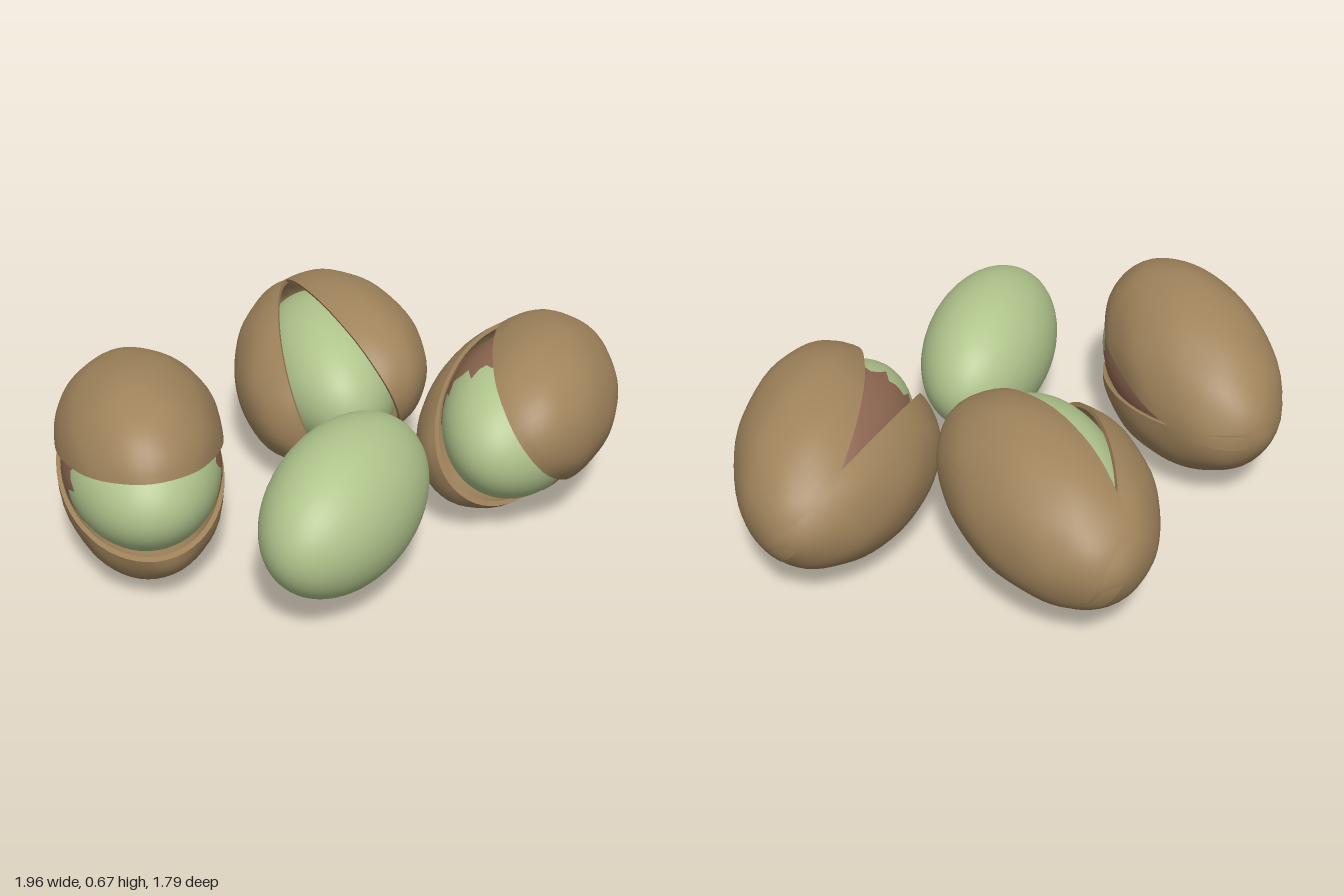
import * as THREE from 'three';
import { mergeGeometries, toCreasedNormals } from 'three/addons/utils/BufferGeometryUtils.js';

const shellMat = new THREE.MeshStandardMaterial({ color: 0xa0845c });
const kernelMat = new THREE.MeshStandardMaterial({ color: 0xb0c48c });
const skinMat = new THREE.MeshStandardMaterial({ color: 0x8c6650, side: THREE.DoubleSide });

const HINGE = -0.29; // the halves swing about this point on the long axis
const SHELL = [0.271, 0.273, 0.472];
const KERNEL = [0.232, 0.256, 0.406];

function arc(radius, from, to, n) {
  const points = [];
  for (let i = 0; i <= n; i++) {
    const a = from + ((to - from) * i) / n;
    points.push(new THREE.Vector2(Math.max(0, radius * Math.cos(a)), radius * Math.sin(a)));
  }
  return points;
}

// Hollow half shell bulging to +x, long axis along z
function halfShellGeometry(seed) {
  const inner = 0.95, q = Math.PI / 2;
  const paths = [
    arc(1, 0, q, 16),
    arc(inner, q, 0, 16),
    [new THREE.Vector2(inner, 0), new THREE.Vector2(1, 0)],
  ];
  const geo = mergeGeometries(paths.map((p) => new THREE.LatheGeometry(p, 56)));
  geo.rotateZ(-Math.PI / 2);
  // gentle dents, the same on both faces of the wall
  const pos = geo.attributes.position, v = new THREE.Vector3();
  for (let i = 0; i < pos.count; i++) {
    v.fromBufferAttribute(pos, i);
    const d = v.clone().normalize();
    const bump = Math.sin(d.x * 7 + seed) * Math.sin(d.y * 6 + seed * 2) * Math.sin(d.z * 8 + seed);
    v.multiplyScalar(1 + 0.012 * bump);
    pos.setXYZ(i, v.x, v.y, v.z);
  }
  geo.scale(...SHELL);
  return toCreasedNormals(geo, 0.9);
}

function makeKernel() {
  const geo = new THREE.SphereGeometry(1, 48, 32).rotateX(Math.PI / 2).scale(...KERNEL);
  const kernel = new THREE.Mesh(geo, kernelMat);
  kernel.name = 'kernel';
  return kernel;
}

// Papery skin on the rear of the kernel, with a ragged front edge
function makeSkin() {
  const geo = new THREE.SphereGeometry(1, 60, 20, 0, Math.PI * 2, 1.2, Math.PI - 1.2);
  const pos = geo.attributes.position;
  for (let i = 0; i <= 60; i++) {
    const k = i % 60, u = (k / 60) * Math.PI * 2;
    const theta = 1.2 + 0.06 * Math.sin(k * 2.4) + 0.05 * Math.sin(k * 5.1);
    pos.setXYZ(i, -Math.cos(u) * Math.sin(theta), Math.cos(theta), Math.sin(u) * Math.sin(theta));
  }
  geo.rotateX(Math.PI / 2).scale(...KERNEL.map((r) => r * 1.012));
  const skin = new THREE.Mesh(geo, skinMat);
  skin.name = 'kernelSkin';
  return skin;
}

function makeNut({ name, at, yaw, roll, open, skinned, seed }) {
  const nut = new THREE.Group();
  nut.name = name;
  for (const side of [1, -1]) {
    const geo = halfShellGeometry(seed + side);
    if (side < 0) geo.rotateZ(Math.PI);
    geo.translate(0, 0, -HINGE);
    const half = new THREE.Mesh(geo, shellMat);
    half.name = side > 0 ? 'leftShellHalf' : 'rightShellHalf';
    half.position.z = HINGE;
    half.rotation.y = side * open;
    nut.add(half);
  }
  const core = new THREE.Group();
  core.name = 'core';
  core.position.z = 0.07;
  core.add(makeKernel());
  if (skinned) core.add(makeSkin());
  nut.add(core);
  nut.position.set(...at);
  nut.rotation.set(0, yaw, roll);
  return nut;
}

export function createModel() {
  const model = new THREE.Group();
  model.name = 'nuts';
  const deg = Math.PI / 180;
  const nuts = [
    { name: 'flatNut', at: [-0.727, 0.333, 0.1], yaw: 0, roll: 90 * deg, open: 0.185, skinned: true, seed: 1 },
    { name: 'backNut', at: [0, 0.333, -0.43], yaw: 0, roll: 24 * deg, open: 0.21, skinned: false, seed: 4 },
    { name: 'sideNut', at: [0.61, 0.328, 0.035], yaw: -33 * deg, roll: 36 * deg, open: 0.2, skinned: true, seed: 7 },
  ];
  nuts.forEach((n) => model.add(makeNut(n)));

  // Kernel lying without its shell
  const bare = makeKernel();
  bare.name = 'bareKernel';
  bare.position.set(-0.125, 0.318, 0.535);
  bare.rotation.y = -36 * deg;
  model.add(bare);
  return model;
}
